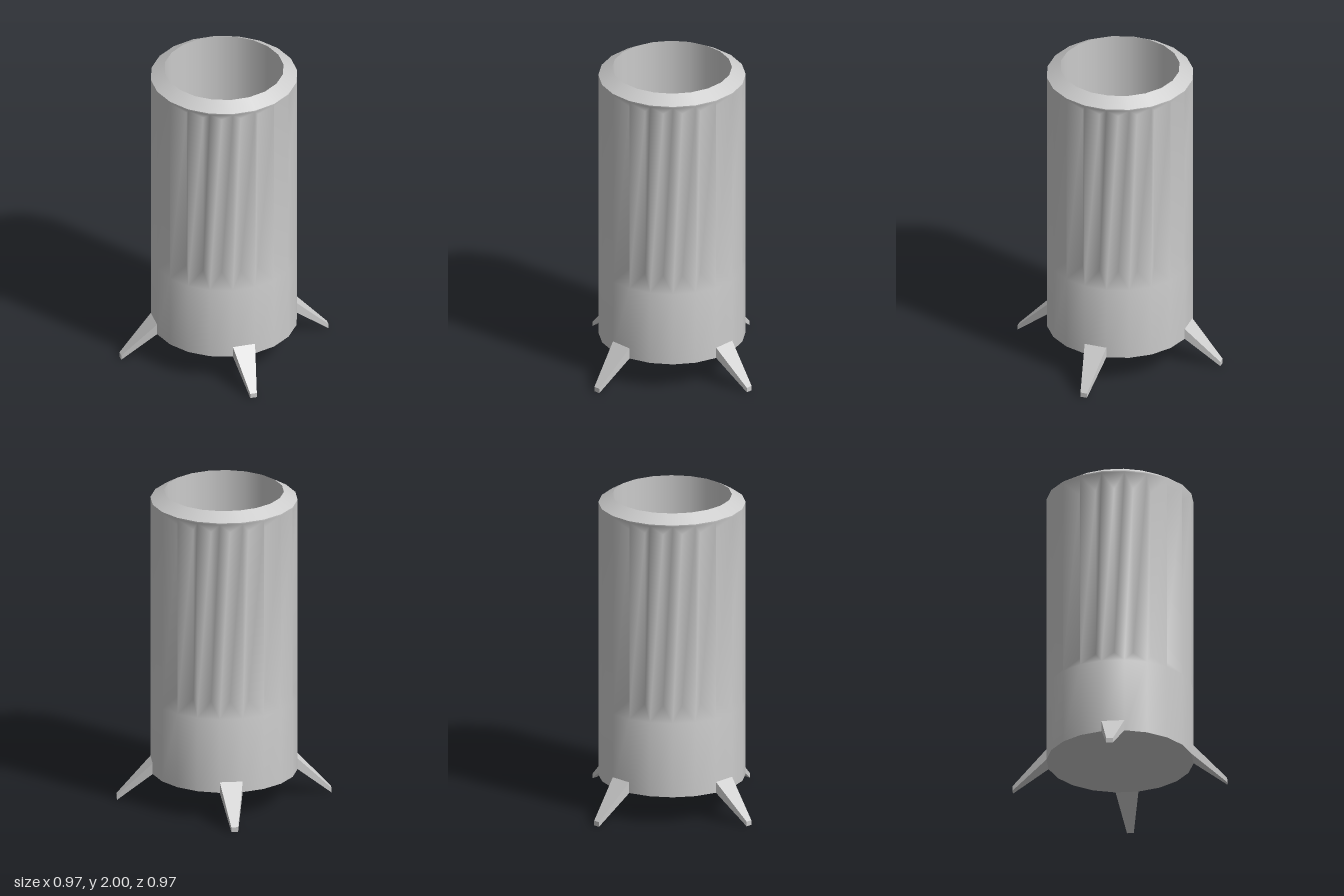
import * as THREE from 'three';

const SIDES = 20;
const R = 0.455;        // outer radius
const R_IN = 0.37;      // bore radius
const BASE = 0.18, TOP = 1.95, FLOOR = 0.25;
const STEP = (Math.PI * 2) / SIDES;

const material = new THREE.MeshStandardMaterial({ color: 0xcccccc });

function add(parent, name, geometry) {
  const mesh = new THREE.Mesh(geometry, material);
  mesh.name = name;
  parent.add(mesh);
  return mesh;
}

function lathe(points) {
  return new THREE.LatheGeometry(points.map(([r, y]) => new THREE.Vector2(r, y)), SIDES);
}

// Outer wall: plain lower band, then one V groove per side with sloped ends
function flutedWall() {
  const pos = [], index = [];
  const ringHeights = [BASE, 0.66, 1.94, TOP];
  const valley = [[0.375, 0.75], [0.375, 1.86]];
  const perSide = ringHeights.length + valley.length;
  const put = (r, y, a) => pos.push(r * Math.sin(a), y, r * Math.cos(a));
  for (let i = 0; i < SIDES; i++) {
    ringHeights.forEach((y) => put(R, y, i * STEP));
    valley.forEach(([r, y]) => put(r, y, (i + 0.5) * STEP));
  }
  const quad = (a, b, c, d) => index.push(a, b, c, a, c, d);
  for (let i = 0; i < SIDES; i++) {
    const l = i * perSide, r = ((i + 1) % SIDES) * perSide;
    const low = l + 4, high = l + 5;
    quad(l, r, r + 1, l + 1);            // lower band
    quad(l + 2, r + 2, r + 3, l + 3);    // thin top band
    index.push(l + 1, r + 1, low);       // groove ends
    index.push(l + 2, high, r + 2);
    quad(l + 1, low, high, l + 2);       // groove walls
    quad(low, r + 1, r + 2, high);
  }
  const g = new THREE.BufferGeometry();
  g.setAttribute('position', new THREE.Float32BufferAttribute(pos, 3));
  g.setIndex(index);
  g.computeVertexNormals();
  return g;
}

// Tapered leg: a box whose far end is narrowed and dropped to the ground
function legGeometry() {
  const g = new THREE.BoxGeometry(1, 1, 1);
  const p = g.attributes.position;
  for (let i = 0; i < p.count; i++) {
    const foot = p.getZ(i) > 0, upper = p.getY(i) > 0;
    const halfWidth = foot ? 0.021 : 0.071;
    const y = foot ? (upper ? 0.03 : 0) : (upper ? 0.25 : BASE);
    p.setXYZ(i, Math.sign(p.getX(i)) * halfWidth, y, foot ? 0.665 : 0.449);
  }
  g.computeVertexNormals();
  return g;
}

export function createModel() {
  const model = new THREE.Group();
  model.name = 'flutedContainer';

  // Hollow body
  const body = new THREE.Group();
  body.name = 'body';
  model.add(body);
  add(body, 'outerWall', flutedWall());
  add(body, 'rim', lathe([[R, TOP], [R_IN, 2]]));
  add(body, 'innerWall', lathe([[R_IN, 2], [R_IN, FLOOR]]));

  const floor = add(body, 'innerFloor', new THREE.CircleGeometry(R_IN, SIDES));
  floor.rotation.x = -Math.PI / 2;
  floor.position.y = FLOOR;

  const bottom = add(body, 'bottom', new THREE.CircleGeometry(R, SIDES));
  bottom.rotation.x = Math.PI / 2;
  bottom.position.y = BASE;

  // Four splayed legs on the diagonals
  const leg = legGeometry();
  for (let i = 0; i < 4; i++) {
    add(model, 'leg', leg).rotation.y = Math.PI / 4 + (i * Math.PI) / 2;
  }
  return model;
}
